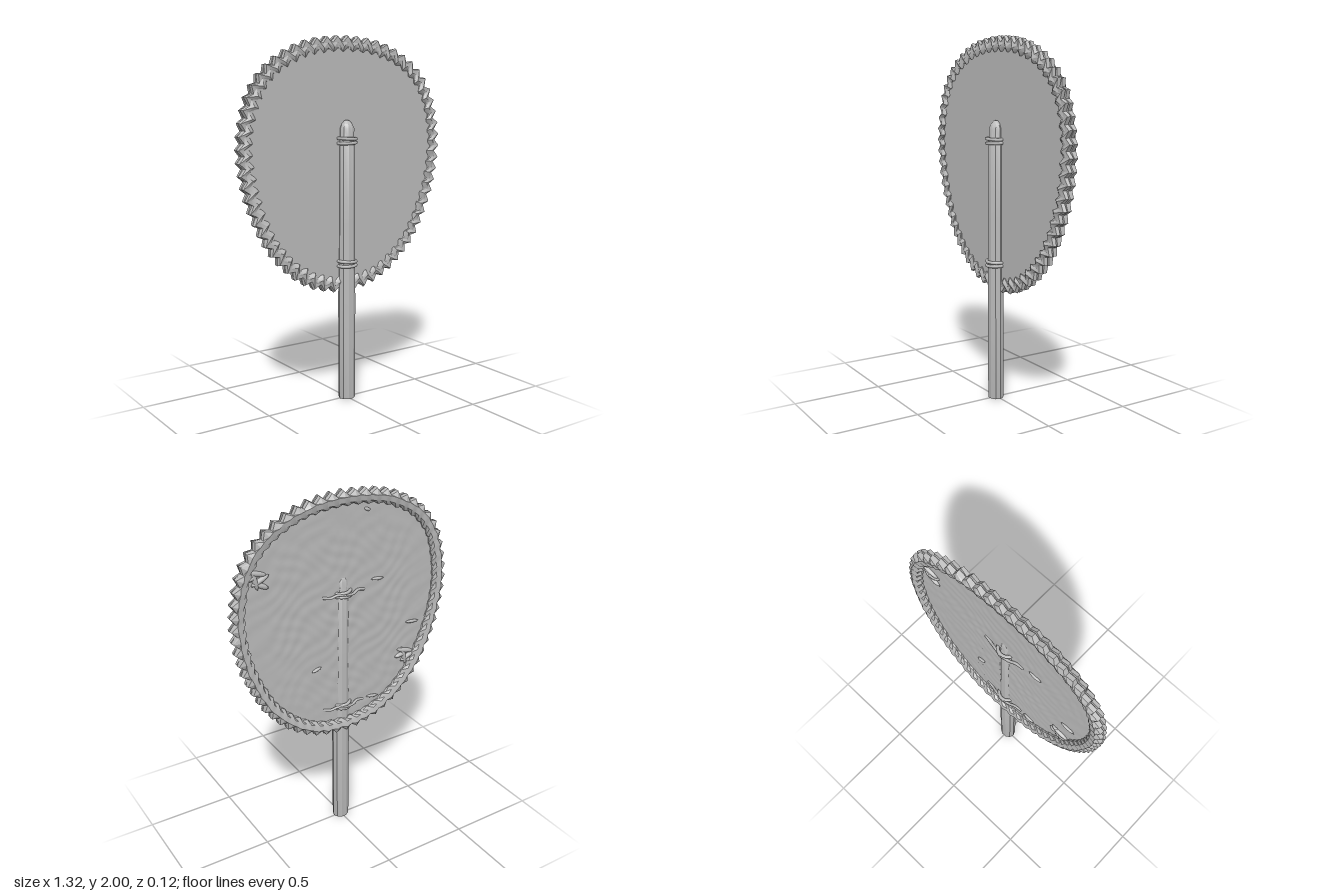
import * as THREE from 'three';
import { toCreasedNormals } from 'three/addons/utils/BufferGeometryUtils.js';

const fibre = new THREE.MeshStandardMaterial({ color: 0xbababa });
fibre.name = 'plain grey fibre';

// Right half of the blade outline, bottom to top, mirrored into a closed loop
const half = [[0.12, 0.635], [0.3, 0.71], [0.46, 0.86], [0.55, 1.02], [0.61, 1.18], [0.642, 1.4],
  [0.62, 1.58], [0.575, 1.71], [0.465, 1.84], [0.28, 1.94], [0.1, 1.975]];
const outline = new THREE.CatmullRomCurve3(
  [...half, ...half.slice().reverse().map(([x, y]) => [-x, y])].map(([x, y]) => new THREE.Vector3(x, y, 0)), true);
const TEETH = 64, STEPS = TEETH * 2;

let seed = 7;
const jitter = (amount) => {
  seed = (seed * 16807) % 2147483647;
  return (seed / 2147483647 - 0.5) * 2 * amount;
};

// Point on the outline, moved inward by d
function rimPoint(i, d, z) {
  const u = (i % STEPS) / STEPS;
  const p = outline.getPointAt(u), t = outline.getTangentAt(u);
  return [p.x - t.y * d, p.y + t.x * d, z];
}

// Skin over rows of points; rows wrap around, columns optionally wrap too
function skin(rows, wrapColumns) {
  const m = rows[0].length, index = [];
  rows.forEach((_, i) => {
    const a = i * m, b = ((i + 1) % rows.length) * m;
    for (let j = 0; j < (wrapColumns ? m : m - 1); j++) {
      const k = (j + 1) % m;
      index.push(a + j, b + j, a + k, b + j, b + k, a + k);
    }
  });
  const g = new THREE.BufferGeometry();
  g.setAttribute('position', new THREE.Float32BufferAttribute(rows.flat(2), 3));
  g.setIndex(index);
  g.computeVertexNormals();
  return g;
}

export function createModel() {
  const model = new THREE.Group();
  const add = (name, geometry, x = 0, y = 0, z = 0, parent = model) => {
    const mesh = new THREE.Mesh(geometry, fibre);
    mesh.name = name;
    mesh.position.set(x, y, z);
    parent.add(mesh);
    return mesh;
  };

  // Pleated edging: zigzag folds in front, a rounder scalloped roll behind
  const edging = [];
  for (let i = 0; i < STEPS; i++) {
    const t = i % 2 ? 1 : -1, w = jitter(0.004);
    edging.push([
      [0.016 * t + w, -0.014], [0.006 + 0.016 * t, 0.004], [0.034 + 0.012 * t, 0.009 + 0.006 * t],
      [0.058 + 0.013 * t + w, 0.002], [0.064, -0.014], [0.066 + 0.006 * t, -0.034],
      [0.05, -0.05 + 0.003 * t], [0.02 + w, -0.056 + 0.003 * t], [0.002 + 0.014 * t, -0.044],
      [0.014 * t, -0.022], [0.02, -0.018],
    ].map(([d, z]) => rimPoint(i, d, z)));
  }
  add('pleatedEdging', toCreasedNormals(skin(edging, true), 0.45));

  // Blade: flat front, gently dimpled woven back
  const rings = 36, front = [], back = [];
  for (let i = 0; i < STEPS; i++) {
    const [ex, ey] = rimPoint(i, 0.04, 0);
    front.push([[ex, ey, -0.004], [0, 1.3, -0.004]]);
    const row = [];
    for (let r = 0; r <= rings; r++) {
      const s = r / rings, x = ex * s, y = 1.3 + (ey - 1.3) * s;
      const dimple = Math.sin(x * 55 + 2 * Math.sin(y * 17)) * Math.sin(y * 62 + 2 * Math.sin(x * 19));
      row.push([x, y, -0.023 + 0.0022 * dimple]);
    }
    back.push(row);
  }
  add('bladeFront', skin(front, false));
  add('bladeBack', skin(back, false));

  // Faceted stick running through the blade, with a carved tip
  const stick = new THREE.LatheGeometry(
    [[0, 0], [0.046, 0], [0.048, 0.01], [0.049, 0.55], [0.046, 1.0], [0.045, 1.45], [0.041, 1.46],
      [0.042, 1.505], [0.03, 1.53], [0.012, 1.548], [0, 1.55]].map(([x, y]) => new THREE.Vector2(x, y)), 10);
  stick.rotateY(Math.PI / 10);
  stick.scale(1, 1, 0.9);
  add('handle', toCreasedNormals(stick, 0.5), 0, 0, 0.005);

  // Cord lashings around the stick, with loose ends on the back
  for (const y of [0.77, 1.44]) {
    const lashing = new THREE.Group();
    lashing.name = y < 1 ? 'lowerLashing' : 'upperLashing';
    lashing.position.y = y;
    model.add(lashing);
    [-0.012, 0.011].forEach((dy, k) => {
      const ring = new THREE.TorusGeometry(0.051, 0.009, 8, 24);
      ring.rotateX(Math.PI / 2);
      add('cordTurn', ring, 0, dy, 0.004, lashing).rotation.z = k ? -0.05 : 0.04;
    });
    for (const side of [-1, 1]) {
      const path = new THREE.CatmullRomCurve3([[0, 0, -0.05], [0.05, 0.006, -0.04], [0.085, -0.006, -0.03],
        [0.13, 0.004, -0.022]].map(([x, py, z]) => new THREE.Vector3(x * side, py * side, z)));
      add('cordEnd', new THREE.TubeGeometry(path, 12, 0.008, 6), 0, 0, 0, lashing);
    }
  }

  // Loose fibres and knots on the back of the blade
  const strand = (name, x, y, length, angle, thick) => {
    const g = new THREE.SphereGeometry(1, 10, 6);
    g.scale(length, thick, thick);
    add(name, g, x, y, -0.027).rotation.z = angle;
  };
  for (const [x, y, l, a] of [[-0.45, 1.17, 0.045, 0.1], [0.17, 1.04, 0.03, -0.3], [-0.21, 1.48, 0.04, 0.1],
    [-0.14, 1.87, 0.02, 0.4], [-0.19, 0.77, 0.04, 0.15]]) strand('looseFibre', x, y, l, a, 0.009);
  for (const [x, y] of [[0.5, 1.63], [-0.41, 0.97]]) {
    for (const [dx, dy, l, a] of [[0, 0.03, 0.06, 0.3], [-0.02, -0.01, 0.055, -0.4], [0.01, 0, 0.06, 1.3],
      [-0.03, -0.04, 0.04, 0.5], [0.03, 0.01, 0.04, -0.2]]) strand('knotStrand', x + dx, y + dy, l, a, 0.014);
  }
  return model;
}
